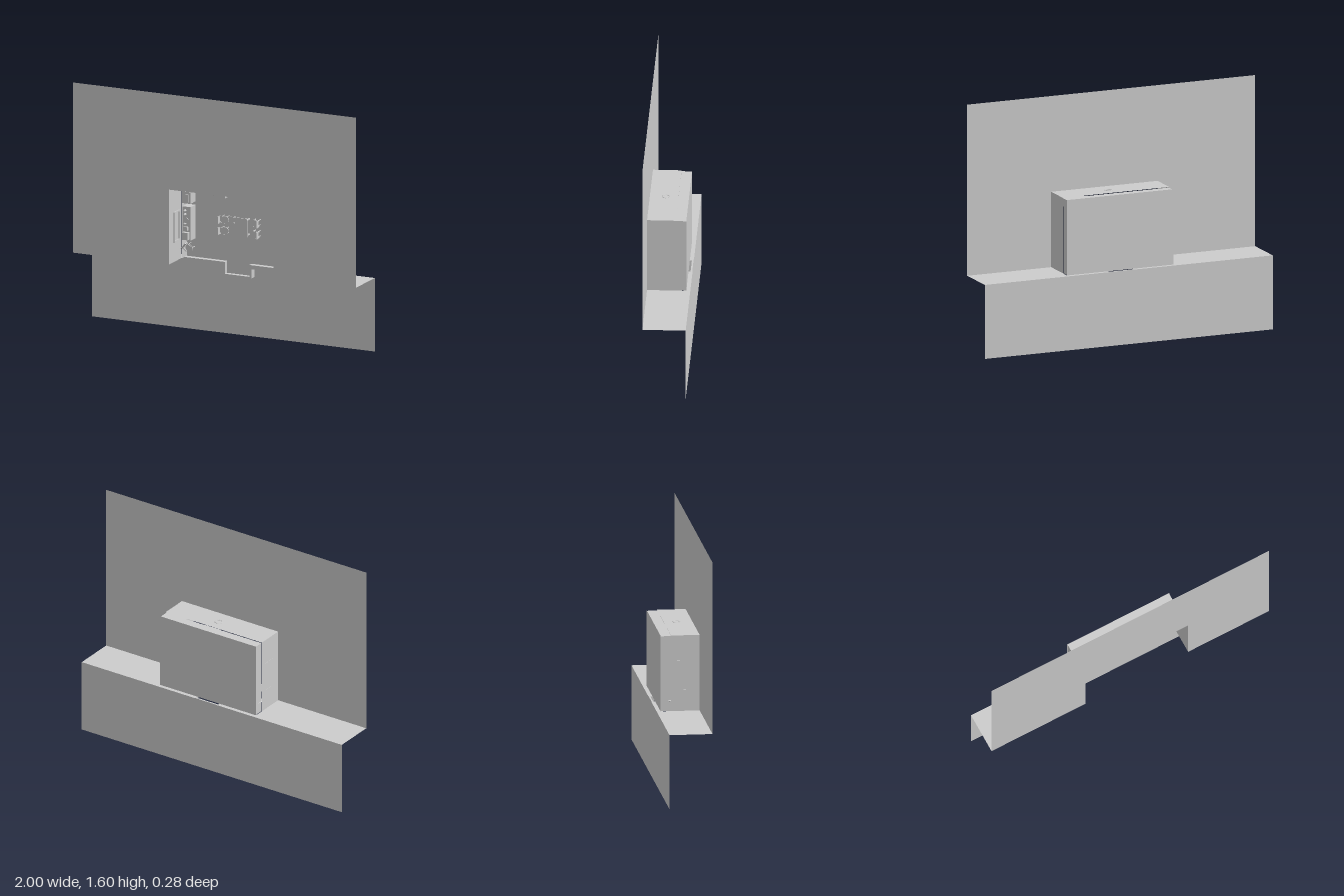
import * as THREE from 'three';

const FLOOR = -0.112, FRONT = 0.1375, BACK = -0.1375, LEDGE = 0.483;
const ROOM = { x0: -0.322, x1: 0.417, y1: 0.975 };

export function createModel() {
  const root = new THREE.Group();
  root.name = 'roomDiorama';
  const grey = new THREE.MeshStandardMaterial({ color: 0xcccccc, side: THREE.DoubleSide });
  grey.name = 'plain grey';

  const add = (name, geo, x = 0, y = 0, z = 0, parent = root) => {
    const m = new THREE.Mesh(geo, grey);
    m.name = name;
    m.position.set(x, y, z);
    parent.add(m);
    return m;
  };
  // Box given by its limits on each axis
  const box = (name, x0, x1, y0, y1, z0, z1, parent = root) =>
    add(name, new THREE.BoxGeometry(x1 - x0, y1 - y0, z1 - z0),
      (x0 + x1) / 2, (y0 + y1) / 2, (z0 + z1) / 2, parent);
  // Flat outline in the xy plane
  const sheet = (name, pts, z) =>
    add(name, new THREE.ShapeGeometry(new THREE.Shape(pts.map(p => new THREE.Vector2(...p)))), 0, 0, z);
  // Horizontal sheet (constant y) and upright side sheet (constant x)
  const level = (name, x0, x1, z0, z1, y) =>
    add(name, new THREE.PlaneGeometry(x1 - x0, z1 - z0).rotateX(-Math.PI / 2), (x0 + x1) / 2, y, (z0 + z1) / 2);
  const side = (name, y0, y1, z0, z1, x) =>
    add(name, new THREE.PlaneGeometry(z1 - z0, y1 - y0).rotateY(Math.PI / 2), x, (y0 + y1) / 2, (z0 + z1) / 2);
  // Round item standing on the room floor, its axis along z
  const round = (name, x, y, z0, z1, r, r2 = r, parent = root) =>
    add(name, new THREE.CylinderGeometry(r2, r, z1 - z0, 20).rotateX(Math.PI / 2), x, y, (z0 + z1) / 2, parent);

  // Large outer sheets
  sheet('upperSheet', [[-1, LEDGE], [ROOM.x0, LEDGE], [ROOM.x0, ROOM.y1], [ROOM.x1, ROOM.y1],
    [ROOM.x1, LEDGE], [1, LEDGE], [1, 1.6], [-1, 1.6]], FRONT);
  sheet('lowerSheet', [[-1, 0], [1, 0], [1, LEDGE], [-1, LEDGE]], BACK);
  level('ledge', -1, ROOM.x0, BACK, FRONT, LEDGE);
  level('ledge', ROOM.x1, 1, BACK, FRONT, LEDGE);
  level('floorStep', ROOM.x0, -0.04, BACK, FLOOR, LEDGE);
  level('floorStep', 0.132, ROOM.x1, BACK, FLOOR, LEDGE);

  // Room shell, the lower wall band set slightly inward
  sheet('roomFloor', [[ROOM.x0, LEDGE], [ROOM.x1, LEDGE], [ROOM.x1, ROOM.y1], [ROOM.x0, ROOM.y1]], FLOOR);
  for (const [z0, z1, inset] of [[-0.045, FRONT, 0], [FLOOR, -0.045, 0.004]]) {
    side('sideWall', LEDGE, ROOM.y1 - inset, z0, z1, ROOM.x0 + inset);
    side('sideWall', LEDGE, ROOM.y1 - inset, z0, z1, ROOM.x1 - inset);
    level('endWall', ROOM.x0 + inset, ROOM.x1 - inset, z0, z1, ROOM.y1 - inset);
  }

  // Low curb around the entrance porch
  const curb = (x0, x1, y0, y1) => box('porchCurb', x0, x1, y0, y1, BACK + 0.002, -0.095);
  curb(-0.365, -0.04, 0.452, 0.478);
  curb(0.132, 0.46, 0.452, 0.478);
  curb(-0.055, -0.04, 0.392, 0.452);
  curb(0.132, 0.149, 0.392, 0.452);
  curb(-0.04, 0.132, 0.392, 0.4);
  box('porchFloor', -0.04, 0.132, 0.4, LEDGE, BACK + 0.002, -0.125);

  // Legs at the corners of a rectangle
  const legs = (name, w, h, z0, z1, t, parent) => {
    for (const sx of [-1, 1]) for (const sy of [-1, 1]) {
      const x = sx * w / 2, y = sy * h / 2;
      box(name, x - t, x + t, y - t, y + t, z0, z1, parent);
    }
  };
  const chair = (x, y, angle) => {
    const g = new THREE.Group();
    g.name = 'chair';
    g.position.set(x, y, FLOOR);
    g.rotation.z = angle;
    const s = new THREE.Shape();
    s.absellipse(0.004, 0, 0.026, 0.023, 0, Math.PI * 2);
    add('chairSeat', new THREE.ExtrudeGeometry(s, { depth: 0.006, bevelEnabled: false, curveSegments: 8 }), 0, 0, 0.036, g);
    legs('chairLeg', 0.034, 0.034, 0, 0.036, 0.002, g);
    box('chairBack', -0.029, -0.024, -0.023, 0.023, 0.05, 0.082, g);
    for (const s2 of [-1, 1]) {
      box('backPost', -0.028, -0.025, s2 * 0.018 - 0.002, s2 * 0.018 + 0.002, 0.036, 0.05, g);
      box('armRest', -0.026, 0.008, s2 * 0.022 - 0.002, s2 * 0.022 + 0.002, 0.055, 0.059, g);
    }
    root.add(g);
  };
  for (const y of [0.764, 0.691]) {
    chair(-0.033, y, 0);
    chair(0.186, y, Math.PI);
  }
  chair(-0.285, 0.549, -0.7);

  // Dining table with rounded corners
  const table = new THREE.Group();
  table.name = 'diningTable';
  table.position.set(0.076, 0.727, FLOOR);
  const top = new THREE.Shape(), a = 0.064, b = 0.052;
  top.moveTo(-b, -a);
  top.lineTo(b, -a).quadraticCurveTo(a, -a, a, -b);
  top.lineTo(a, b).quadraticCurveTo(a, a, b, a);
  top.lineTo(-b, a).quadraticCurveTo(-a, a, -a, b);
  top.lineTo(-a, -b).quadraticCurveTo(-a, -a, -b, -a);
  add('tableTop', new THREE.ExtrudeGeometry(top, { depth: 0.008, bevelEnabled: false }), 0, 0, 0.054, table);
  legs('tableLeg', 0.1, 0.1, 0, 0.054, 0.004, table);
  round('tableCup', -0.033, 0.027, 0.062, 0.074, 0.008, 0.01, table);
  root.add(table);

  // Cabinets against the end wall
  box('dresser', -0.165, -0.016, 0.908, 0.968, FLOOR, -0.045);
  for (const [x, y, r] of [[-0.13, 0.935, 0.011], [-0.105, 0.945, 0.007], [-0.088, 0.93, 0.006], [-0.06, 0.935, 0.012]])
    round('dresserItem', x, y, -0.045, -0.028, r, r * 0.7);
  box('mediaCabinet', 0, 0.156, 0.918, 0.968, FLOOR, -0.07);
  box('screenPanel', 0.018, 0.138, 0.942, 0.948, -0.064, -0.005);
  box('screenFoot', 0.05, 0.106, 0.932, 0.956, -0.07, -0.064);
  round('floorVase', 0.178, 0.943, FLOOR, -0.06, 0.012, 0.016);
  box('wardrobe', 0.262, 0.412, 0.918, 0.97, FLOOR, 0.06);
  add('wallClock', new THREE.TorusGeometry(0.023, 0.003, 8, 24).rotateX(Math.PI / 2), 0.065, ROOM.y1, 0.035);

  // Furniture along the left-hand wall
  box('sideCabinet', -0.316, -0.258, 0.846, 0.922, FLOOR, -0.04);
  box('cabinetTray', -0.306, -0.268, 0.856, 0.908, -0.04, -0.034);
  box('console', -0.314, -0.257, 0.605, 0.825, FLOOR, -0.04);
  box('consoleBox', -0.306, -0.264, 0.612, 0.66, -0.04, -0.015);
  box('consoleBooks', -0.3, -0.272, 0.672, 0.695, -0.04, -0.024);
  round('consoleBowl', -0.284, 0.742, -0.04, -0.022, 0.012, 0.019);
  for (const y of [0.715, 0.775, 0.8]) round('consoleJar', -0.293, y, -0.04, -0.016, 0.008, 0.006);

  // Framed panel on the wall above the console
  for (const [y0, y1, z0, z1] of [[0.61, 0.62, -0.01, 0.07], [0.8, 0.81, -0.01, 0.07],
    [0.62, 0.8, -0.01, -0.003], [0.62, 0.8, 0.063, 0.07]])
    box('wallFrame', ROOM.x0 - 0.002, ROOM.x0 + 0.006, y0, y1, z0, z1);

  // Wash stand by the opposite wall
  box('washStand', 0.358, 0.411, 0.493, 0.652, FLOOR, -0.05);
  add('washBasin', new THREE.TorusGeometry(0.019, 0.005, 8, 24), 0.386, 0.61, -0.048);
  box('washTray', 0.37, 0.402, 0.512, 0.575, -0.05, -0.043);
  round('washJug', 0.386, 0.562, -0.043, -0.02, 0.009, 0.007);

  return root;
}
